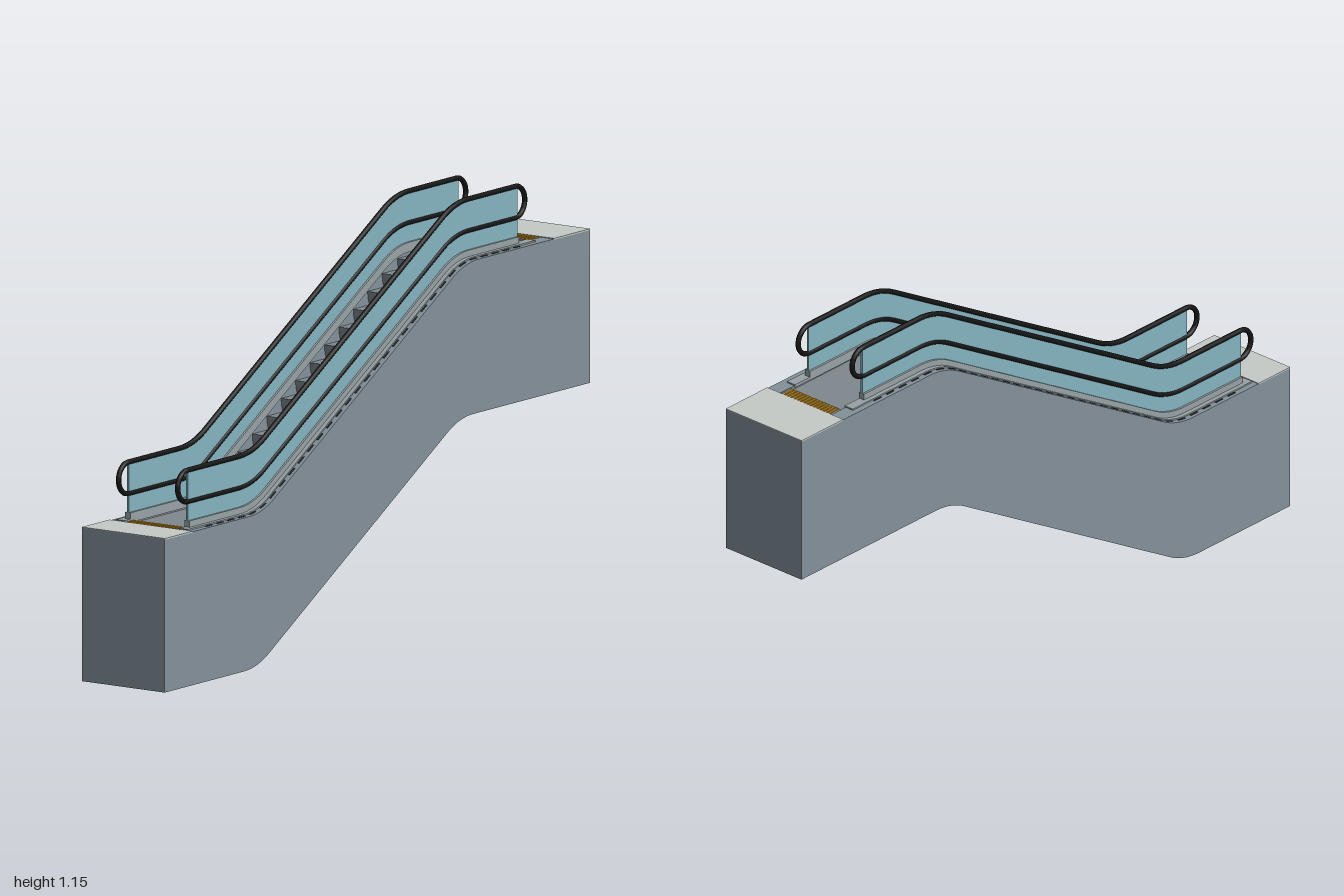
import * as THREE from 'three';

const RISE = 0.55, RUN = RISE / Math.tan(Math.PI / 6);
const mat = (name, color, side = THREE.FrontSide) => {
  const m = new THREE.MeshStandardMaterial({ color, side });
  m.name = name;
  return m;
};

// Escalator line in (z, y): lower flat, 30 degree incline, upper flat, with rounded bends
function line(y, zStart, zEnd, corner = 0.54, bend = 0.065) {
  const a = new THREE.Vector2(corner, y), b = new THREE.Vector2(corner - RUN, y + RISE);
  const up = b.clone().sub(a).normalize().multiplyScalar(bend);
  const flat = new THREE.Vector2(bend, 0);
  const low = new THREE.QuadraticBezierCurve(a.clone().add(flat), a, a.clone().add(up));
  const high = new THREE.QuadraticBezierCurve(b.clone().sub(up), b, b.clone().sub(flat));
  return [new THREE.Vector2(zStart, y), ...low.getPoints(10), ...high.getPoints(10), new THREE.Vector2(zEnd, y + RISE)];
}

// Extrude a (z, y) outline across x
function across(points, width, x = 0) {
  const g = new THREE.ExtrudeGeometry(new THREE.Shape(points), { depth: width, bevelEnabled: false });
  g.translate(0, 0, -width / 2);
  g.rotateY(-Math.PI / 2);
  g.translate(x, 0, 0);
  return g;
}

const band = (top, bottom) => [...top, ...bottom.slice().reverse()];

function polyCurve(points) {
  const path = new THREE.CurvePath();
  points.forEach((p, i) => { if (i) path.add(new THREE.LineCurve3(points[i - 1], p)); });
  return path;
}

export function createModel() {
  const model = new THREE.Group();
  model.name = 'escalator';
  const cladding = mat('claddingGrey', 0x84919a);
  const stepGrey = mat('stepGrey', 0x7d888e);
  const trim = mat('trimGrey', 0x98a2a6);
  const plate = mat('landingPlate', 0xc6cac7);
  const glass = mat('glassBlue', 0x84b4c1);
  const rubber = mat('handrailBlack', 0x141414);
  const orange = mat('combOrange', 0xd8960f);
  const dark = mat('seamDark', 0x30363a);

  const add = (name, geometry, material, parent = model) => {
    const mesh = new THREE.Mesh(geometry, material);
    mesh.name = name;
    parent.add(mesh);
    return mesh;
  };
  const box = (name, w, h, d, x, y, z, material, parent) =>
    add(name, new THREE.BoxGeometry(w, h, d).translate(x, y, z), material, parent);

  // Truss: two side walls and a lower channel floor between them
  const underside = line(0, 1, -1, 0.565);
  for (const s of [-1, 1]) {
    add('trussSide', across(band(line(0.43, 1, -1), underside), 0.045, s * 0.1175), cladding);
  }
  add('trussFloor', across(band(line(0.37, 1, -1), underside), 0.19), cladding);

  // Landings with plates and comb teeth
  for (const [name, y, zIn, zOut] of [['lower', 0.43, 0.87, 1], ['upper', 0.98, -0.83, -1]]) {
    const landing = new THREE.Group();
    landing.name = name + 'Landing';
    model.add(landing);
    const dir = Math.sign(zOut), depth = Math.abs(zOut - zIn), mid = (zIn + zOut) / 2;
    box('landingBlock', 0.19, 0.065, depth, 0, y - 0.0325, mid, cladding, landing);
    box('landingPlate', 0.282, 0.004, depth, 0, y, mid, plate, landing);
    box('combPlate', 0.19, 0.05, 0.045, 0, y - 0.027, zIn - dir * 0.0225, stepGrey, landing);
    for (let i = 0; i < 15; i++) {
      box('combTooth', 0.006, 0.004, 0.042, -0.084 + i * 0.012, y - 0.001, zIn - dir * 0.021, orange, landing);
    }
  }

  // Steps spaced evenly along the line
  const steps = new THREE.Group();
  steps.name = 'steps';
  model.add(steps);
  const stepLine = polyCurve(line(0.421, 0.85, -0.81).map(p => new THREE.Vector3(0, p.y, p.x)));
  const count = Math.round(stepLine.getLength() / 0.0768);
  const nosings = Array.from({ length: count + 1 }, (_, i) => stepLine.getPointAt(i / count));
  for (let i = 0; i < count; i++) {
    const { y, z } = nosings[i], back = nosings[i + 1].z - 0.012;
    const riser = new THREE.QuadraticBezierCurve(
      new THREE.Vector2(z - 0.012, y - 0.045), new THREE.Vector2(z, y - 0.025), new THREE.Vector2(z, y)).getPoints(6);
    add('step', across([...riser, new THREE.Vector2(back, y), new THREE.Vector2(back, y - 0.045)], 0.188), stepGrey, steps);
  }

  // Balustrades, one on each side
  for (const s of [-1, 1]) {
    const side = new THREE.Group();
    side.name = s > 0 ? 'leftBalustrade' : 'rightBalustrade';
    model.add(side);
    const x = s * 0.1;
    add('balustradeBase', across(band(line(0.452, 0.84, -0.71), line(0.425, 0.84, -0.71)), 0.018, x), trim, side);
    add('deckTrim', across(band(line(0.434, 0.865, -0.77), line(0.425, 0.865, -0.77)), 0.03, s * 0.107), trim, side);
    add('glassPanel', across(band(line(0.592, 0.84, -0.71, 0.535), line(0.445, 0.84, -0.71)), 0.006, x), glass, side);

    // Handrail loop with rounded returns at both ends
    const r = 0.044, top = line(0.593, 0.84, -0.705, 0.535), bottom = line(0.505, 0.84, -0.705, 0.538);
    const turn = (z, y, from) => Array.from({ length: 13 }, (_, i) => {
      const a = from - i * Math.PI / 12;
      return new THREE.Vector2(z + r * Math.cos(a), y + r * Math.sin(a));
    });
    const loop = [
      ...top.slice(1, -1),
      ...turn(-0.705, 0.549 + RISE, Math.PI / 2).map(p => new THREE.Vector2(-1.41 - p.x, p.y)),
      ...bottom.slice(1, -1).reverse(),
      ...turn(0.84, 0.549, Math.PI / 2).reverse(),
      top[1],
    ].map(p => new THREE.Vector3(x, p.y, p.x));
    add('handrail', new THREE.TubeGeometry(polyCurve(loop), 420, 0.0075, 8, true), rubber, side);

    // Short dark seams along the outer deck
    const seam = polyCurve(line(0.4305, 0.8, -0.7).map(p => new THREE.Vector3(0, p.y, p.x)));
    for (let i = 0; i < 32; i++) {
      const p = seam.getPointAt((i + 0.5) / 32), t = seam.getTangentAt((i + 0.5) / 32);
      const dash = add('deckSeam', new THREE.BoxGeometry(0.005, 0.003, 0.028), dark, side);
      dash.position.set(s * 0.127, p.y, p.z);
      dash.rotation.x = Math.atan2(t.y, -t.z);
    }
  }
  return model;
}
